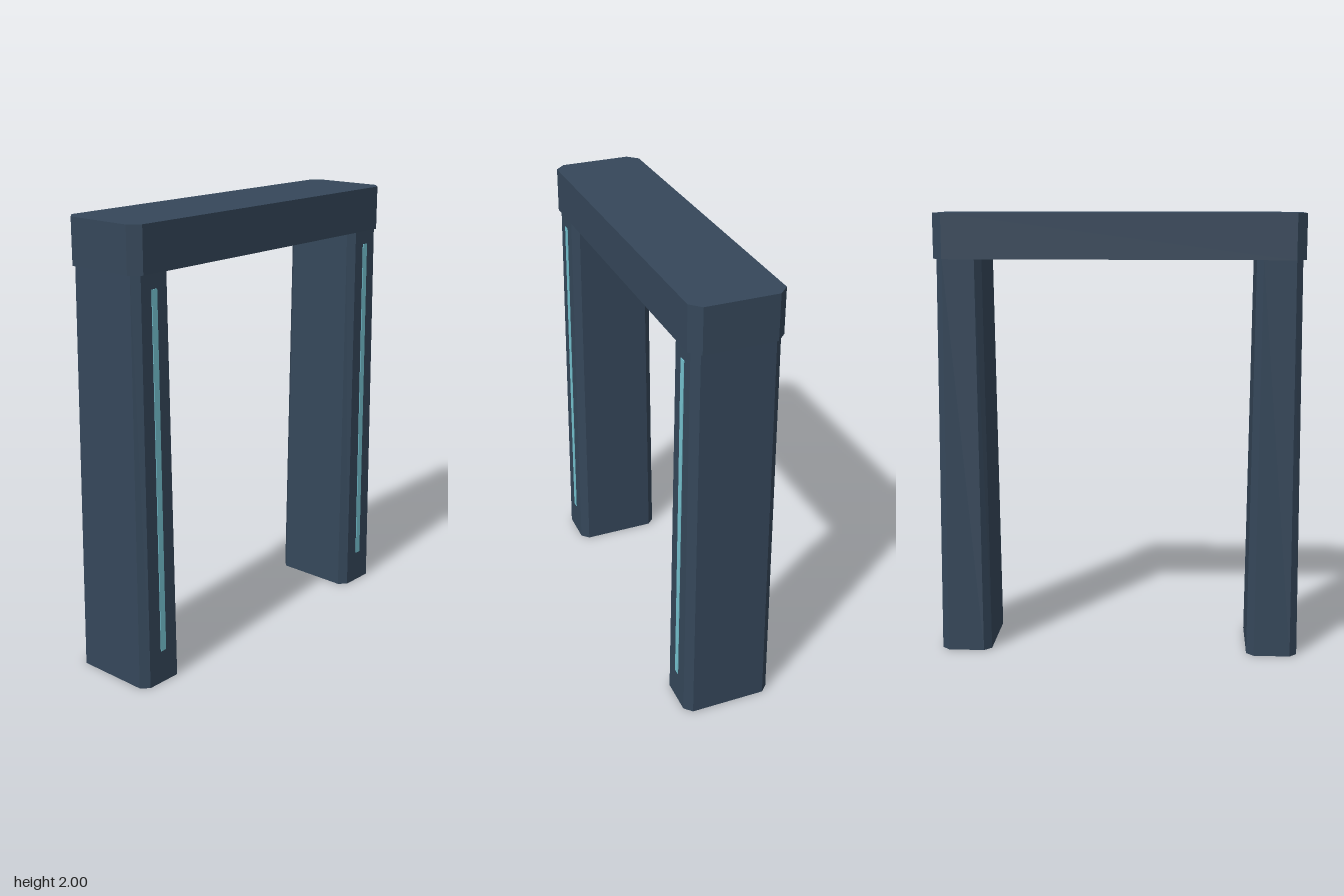
import * as THREE from 'three';

const frameMaterial = new THREE.MeshStandardMaterial({ color: 0x35475a });
frameMaterial.name = 'slate blue';
const lightMaterial = new THREE.MeshStandardMaterial({ color: 0x76c4d2 });
lightMaterial.name = 'pale cyan';

// Upright block with chamfered vertical edges; its top can be narrower than its base
function chamferedBlock(halfX, halfZ, chamfer, height, topX = 1, topZ = 1) {
  const a = halfX - chamfer, b = halfZ - chamfer;
  const outline = [
    [-a, -halfZ], [a, -halfZ], [halfX, -b], [halfX, b],
    [a, halfZ], [-a, halfZ], [-halfX, b], [-halfX, -b],
  ].map(([x, z]) => new THREE.Vector2(x, z));
  const geometry = new THREE.ExtrudeGeometry(new THREE.Shape(outline), { depth: height, bevelEnabled: false });
  geometry.rotateX(-Math.PI / 2);
  const p = geometry.attributes.position;
  for (let i = 0; i < p.count; i++) {
    if (p.getY(i) > height / 2) {
      p.setX(i, p.getX(i) * topX);
      p.setZ(i, p.getZ(i) * topZ);
    }
  }
  geometry.computeVertexNormals();
  return geometry;
}

function addMesh(parent, name, geometry, material, x, y, z) {
  const mesh = new THREE.Mesh(geometry, material);
  mesh.name = name;
  mesh.position.set(x, y, z);
  parent.add(mesh);
  return mesh;
}

export function createModel() {
  const group = new THREE.Group();
  group.name = 'archway';

  const beamY = 1.8, baseZ = 0.204, topZ = 0.19;

  // Crossbeam
  addMesh(group, 'crossbeam', chamferedBlock(0.82, baseZ, 0.045, 0.2), frameMaterial, 0, beamY, 0);

  // Tapered pillars, each with a thin light strip lying on its sloping front
  const slope = (baseZ - topZ) / beamY;
  const low = 0.15, high = 1.735, mid = (low + high) / 2;
  const pillar = chamferedBlock(0.115, baseZ, 0.033, beamY, 0.1 / 0.115, topZ / baseZ);
  const strip = new THREE.BoxGeometry(0.03, high - low, 0.006);
  for (const [side, x] of [['left', 0.705], ['right', -0.705]]) {
    addMesh(group, side + 'Pillar', pillar, frameMaterial, x, 0, 0);
    const light = addMesh(group, side + 'LightStrip', strip, lightMaterial, x, mid, baseZ - slope * mid);
    light.rotation.x = -Math.atan(slope);
  }

  return group;
}
